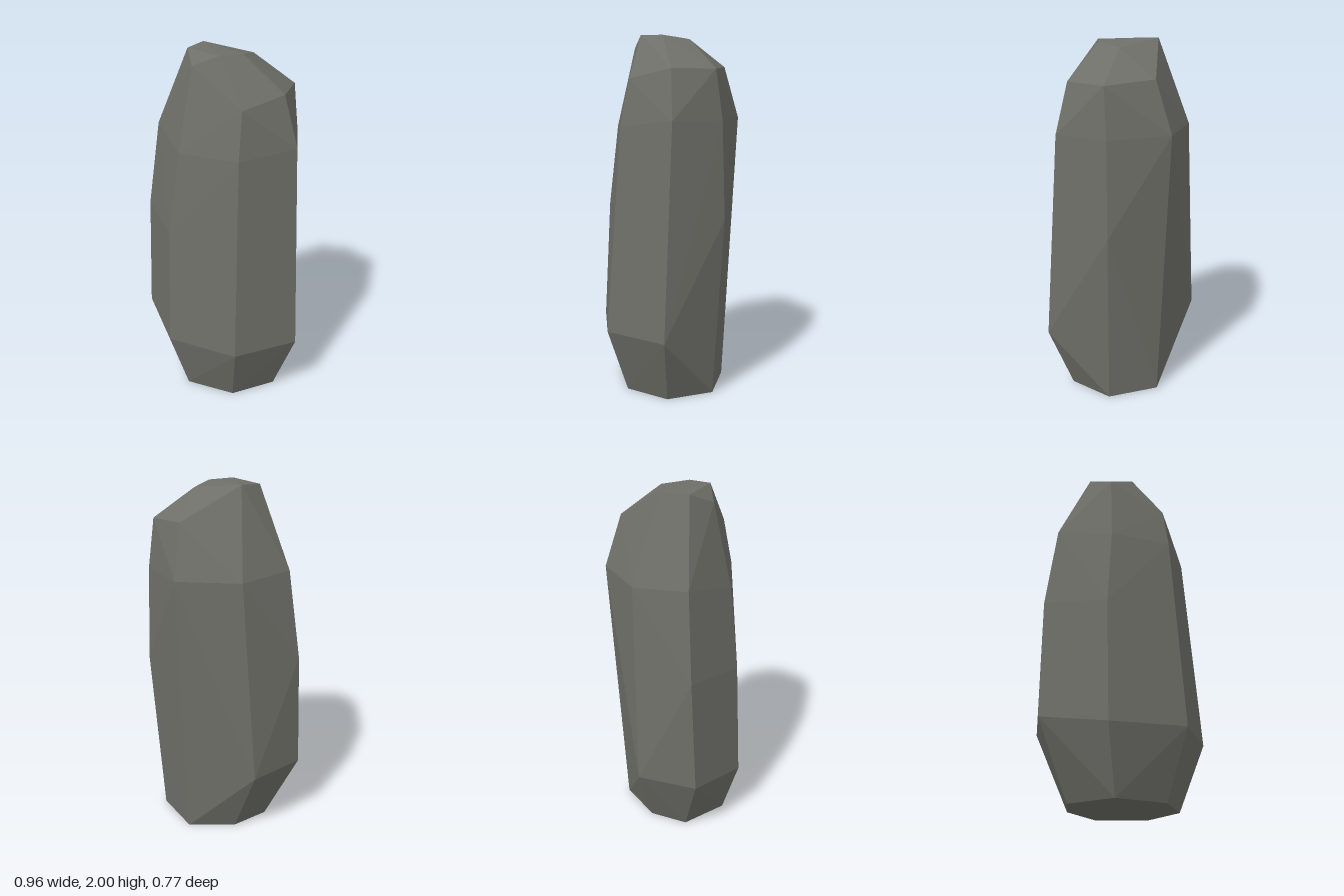
import * as THREE from 'three';
import { ConvexGeometry } from 'three/addons/geometries/ConvexGeometry.js';

// Seven upright edges of the stone, each listed from base to crown as [x, y, z]
const EDGES = {
  frontLeft: [[0.16, 0, 0.27], [0.23, 0.37, 0.385], [0.205, 1.5, 0.3], [0.197, 1.75, 0.25], [0.035, 1.99, 0.17]],
  frontRight: [[-0.13, 0, 0.29], [-0.2, 0.35, 0.375], [-0.195, 1.03, 0.34], [-0.15, 1.49, 0.29], [-0.115, 1.93, 0.19]],
  right: [[-0.295, 0, 0.065], [-0.48, 0.41, 0.125], [-0.47, 1.07, 0.095], [-0.4, 1.56, 0.075], [-0.205, 1.99, 0.07]],
  backRight: [[-0.22, 0, -0.145], [-0.39, 0.41, -0.2], [-0.3, 1.54, -0.215], [-0.19, 2, -0.075]],
  back: [[0, 0, -0.31], [0, 1.54, -0.39], [0.035, 1.82, -0.3]],
  backLeft: [[0.275, 0, -0.2], [0.32, 1, -0.25], [0.31, 1.53, -0.235], [0.295, 1.8, -0.2], [0.1, 1.965, -0.09]],
  left: [[0.335, 0, 0.065], [0.48, 0.37, 0.1], [0.42, 1.53, 0.05], [0.34, 1.8, 0.045], [0.115, 1.985, 0.06]],
};

export function createModel() {
  const group = new THREE.Group();
  group.name = 'standingStone';

  const stoneGrey = new THREE.MeshStandardMaterial({ color: 0x6f6f69 });
  stoneGrey.name = 'stoneGrey';
  stoneGrey.flatShading = true;

  // Faceted boulder: flat faces stretched between the upright edges
  const points = Object.values(EDGES).flat().map((p) => new THREE.Vector3(...p));
  const boulder = new THREE.Mesh(new ConvexGeometry(points), stoneGrey);
  boulder.name = 'boulder';
  group.add(boulder);

  return group;
}
